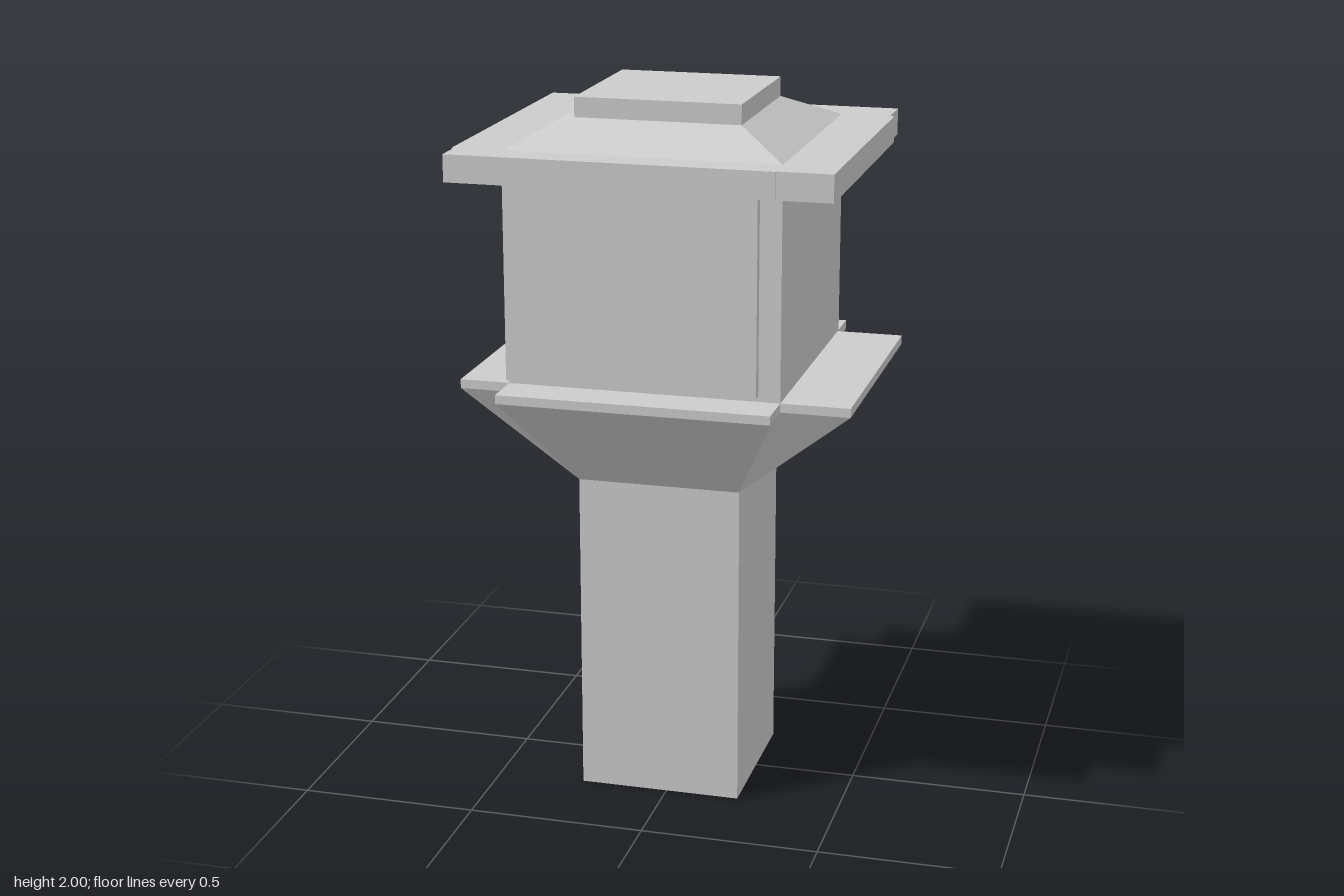
import * as THREE from 'three';
import { ConvexGeometry } from 'three/addons/geometries/ConvexGeometry.js';

// Plan rectangles as [xMin, xMax, zMin, zMax]
const SHAFT = [-0.25, 0.21, -0.225, 0.235];
const HOUSE = [-0.4, 0.355, -0.375, 0.38];

export function createModel() {
  const model = new THREE.Group();
  const material = new THREE.MeshStandardMaterial({ color: 0xcccccc, flatShading: true });

  const add = (name, geometry) => {
    const mesh = new THREE.Mesh(geometry, material);
    mesh.name = name;
    model.add(mesh);
  };
  const corners = ([x0, x1, z0, z1], y) => [[x0, z0], [x1, z0], [x1, z1], [x0, z1]]
    .map(([x, z]) => new THREE.Vector3(x, y, z));
  // Straight or tapered block between two plan rectangles
  const block = (name, lower, y0, upper, y1) =>
    add(name, new ConvexGeometry([...corners(lower, y0), ...corners(upper, y1)]));

  // Shaft, flared neck and house
  block('shaft', SHAFT, 0, SHAFT, 0.925);
  block('neck', SHAFT, 0.925, HOUSE, 1.21);
  block('house', HOUSE, 1.21, HOUSE, 1.8);

  // Thin wall panels, each stopping short of one corner
  const frontPanel = [-0.4, 0.295, 0.375, 0.405];
  const backPanel = [-0.345, 0.355, -0.39, -0.37];
  block('frontPanel', frontPanel, 1.25, frontPanel, 1.8);
  block('backPanel', backPanel, 1.235, backPanel, 1.8);

  // Four wedge flanges leaning outward from the neck, with a thin lip on top
  const flanges = [
    ['backFlange', 0, 1, 0, -0.127],
    ['leftFlange', 1, 2, 0.19, 0],
    ['frontFlange', 2, 3, 0, 0.12],
    ['rightFlange', 3, 0, -0.14, 0],
  ];
  for (const [name, a, b, dx, dz] of flanges) {
    const points = [];
    for (const i of [a, b]) {
      points.push(corners(SHAFT, 0.925)[i]);
      for (const y of [1.21, 1.235]) {
        const inner = corners(HOUSE, y)[i];
        points.push(inner, inner.clone().add(new THREE.Vector3(dx, 0, dz)));
      }
    }
    add(name, new ConvexGeometry(points));
  }

  // Eaves slab with slightly stepped corners
  const outline = [
    [-0.547, -0.5], [0.495, -0.5], [0.495, -0.375], [0.507, -0.375], [0.507, 0.465],
    [0.355, 0.465], [0.355, 0.47], [-0.54, 0.47], [-0.54, 0.38], [-0.547, 0.38],
  ].map(([x, z]) => new THREE.Vector2(x, z));
  const eaves = new THREE.ExtrudeGeometry(new THREE.Shape(outline), { depth: 0.075, bevelEnabled: false });
  eaves.rotateX(Math.PI / 2).translate(0, 1.875, 0);
  add('eaves', eaves);

  // Sloped roof and square cap
  block('roof', HOUSE, 1.875, SHAFT, 1.945);
  block('cap', SHAFT, 1.945, SHAFT, 2);

  return model;
}
